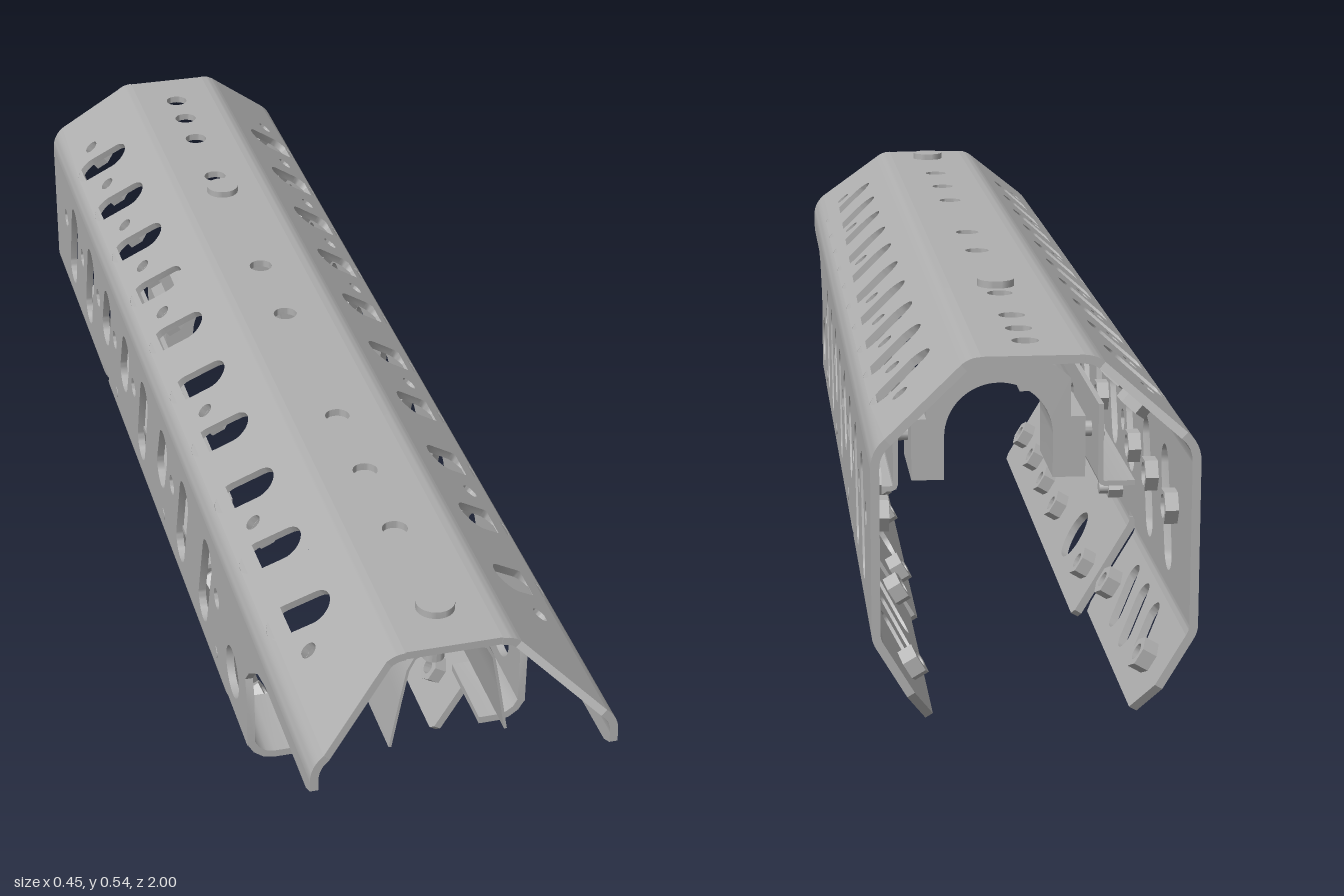
import * as THREE from 'three';
import { toCreasedNormals } from 'three/addons/utils/BufferGeometryUtils.js';

const T = 0.012; // sheet thickness
const V2 = (x, y) => new THREE.Vector2(x, y);

export function createModel() {
  const root = new THREE.Group();
  root.name = 'perforatedCover';
  const steel = new THREE.MeshStandardMaterial({ color: 0xb0b0b0 });
  steel.name = 'grey steel';

  function add(name, geo) {
    const mesh = new THREE.Mesh(toCreasedNormals(geo, 0.6), steel);
    mesh.name = name;
    root.add(mesh);
  }
  // reflects a geometry in x and keeps its faces pointing outwards
  function mirrored(geo) {
    const g = geo.index ? geo.toNonIndexed() : geo.clone();
    g.scale(-1, 1, 1);
    const p = g.attributes.position;
    for (let i = 0; i < p.count; i += 3) {
      const a = [p.getX(i), p.getY(i), p.getZ(i)];
      p.setXYZ(i, p.getX(i + 2), p.getY(i + 2), p.getZ(i + 2));
      p.setXYZ(i + 2, ...a);
    }
    g.computeVertexNormals();
    return g;
  }
  function pair(name, geo) {
    add('left' + name, geo);
    add('right' + name, mirrored(geo));
  }

  // rounded slot between two points; equal points give a round hole
  function slot(a, b, r) {
    const ang = Math.atan2(b.y - a.y, b.x - a.x);
    const path = new THREE.Path();
    path.absarc(b.x, b.y, r, ang - Math.PI / 2, ang + Math.PI / 2, false);
    path.absarc(a.x, a.y, r, ang + Math.PI / 2, ang + Math.PI * 1.5, false);
    path.closePath();
    return path;
  }
  // flat sheet running along z; outline and holes are given as (z, y),
  // and y is stretched onto the line from lower to upper
  function panel(outline, holes, lower, upper, t = T) {
    const dir = V2(upper[0] - lower[0], upper[1] - lower[1]);
    const len = dir.length(), rise = dir.y;
    const map = ([z, y]) => V2(z, rise ? (y - lower[1]) / rise * len : y - lower[0]);
    const s = new THREE.Shape(outline.map(map));
    for (const [a, b, r] of holes) s.holes.push(slot(map(a), map(b), r));
    const g = new THREE.ExtrudeGeometry(s, { depth: t, bevelEnabled: false, curveSegments: 8 });
    dir.normalize();
    const m = new THREE.Matrix4().makeBasis(
      new THREE.Vector3(0, 0, 1), new THREE.Vector3(dir.x, dir.y, 0), new THREE.Vector3(-dir.y, dir.x, 0));
    return g.applyMatrix4(m.setPosition(lower[0], lower[1], 0));
  }
  // extrudes an xy section from z0 to z1
  function along(shape, z0, z1) {
    return new THREE.ExtrudeGeometry(shape, { depth: z1 - z0, bevelEnabled: false, curveSegments: 16 }).translate(0, 0, z0);
  }
  // constant-thickness strip following a list of xy points
  function strip(pts, t, z0, z1) {
    const inner = pts.map((p, i) => {
      const a = pts[Math.max(i - 1, 0)], b = pts[Math.min(i + 1, pts.length - 1)];
      const d = b.clone().sub(a).normalize();
      return V2(p.x + d.y * t, p.y - d.x * t);
    });
    return along(new THREE.Shape([...pts, ...inner.reverse()]), z0, z1);
  }
  const bend = (a, c, b, z0, z1) =>
    strip(new THREE.QuadraticBezierCurve(V2(...a), V2(...c), V2(...b)).getPoints(6), T, z0, z1);
  const hole = (z, y, r) => [[z, y], [z, y], r];

  // main section, from the flat top down to the lower flange
  const topEdge = [0.07, 0.535], topCorner = [0.085, 0.535], slopeTop = [0.097, 0.525];
  const slopeLow = [0.203, 0.436], shoulder = [0.222, 0.42], sideTop = [0.222, 0.395];
  const sideLow = [0.222, 0.165], foot = [0.222, 0.155], flangeTop = [0.216, 0.145], flangeTip = [0.131, 0.002];

  // top panel
  const topHoles = [-0.86, -0.78, -0.69, -0.53, -0.18, -0.01, 0.32, 0.48, 0.64].map(z => hole(z, 0, 0.019));
  add('topPanel', panel([[-0.955, -0.07], [0.93, -0.07], [0.93, 0.07], [-0.955, 0.07]], topHoles,
    [-0.07, 0.523], [0.07, 0.523]));
  pair('TopBend', bend(topEdge, topCorner, slopeTop, -0.957, 0.932));

  // sloping panels
  const slopeBolts = [-0.85, -0.69, -0.52, -0.36, -0.19, 0.14, 0.47, 0.8];
  const slopeHoles = slopeBolts.map(z => hole(z, 0.462, 0.013));
  for (let i = 0; i < 10; i++) {
    const z = -0.77 + i * 0.1655;
    slopeHoles.push([[z - 0.012, 0.449], [z + 0.012, 0.484], 0.029]);
  }
  pair('SlopePanel', panel([[-1, 0.436], [1, 0.436], [0.932, 0.525], [-0.957, 0.525]], slopeHoles, slopeLow, slopeTop));
  pair('ShoulderBend', bend(slopeLow, shoulder, sideTop, -1, 1));

  // side panels
  const sideBolts = [0.43, 0.1, -0.22, -0.55, -0.71, -0.88];
  const sideHoles = [...sideBolts, -0.39].map(z => hole(z, 0.3, 0.017));
  sideHoles.push(hole(0.535, 0.235, 0.042));
  for (const [z, low] of [[0.35, 0], [0.18, 0], [0.02, 1], [-0.14, 0], [-0.3, 1], [-0.47, 1], [-0.635, 0], [-0.8, 0]])
    sideHoles.push([[z - (low ? 0.01 : 0.022), low ? 0.272 : 0.22], [z + 0.016, 0.332], 0.031]);
  pair('SidePanel', panel([[-1, 0.165], [-0.52, 0.165], [-0.52, 0.175], [-0.47, 0.175], [-0.47, 0.165], [0.63, 0.165],
    [0.63, 0.25], [0.62, 0.285], [0.6, 0.31], [0.7, 0.355], [0.75, 0.367], [0.98, 0.368], [1, 0.378], [1, 0.395], [-1, 0.395]]
    .map(([z, y]) => (z === 0.6 ? [0.645, 0.315] : [z, y])), sideHoles, sideLow, sideTop));

  // lower flanges, front and rear, with their bends
  const flangeBolts = [0.4, 0.24, 0.08, -0.08, -0.41];
  pair('FrontFlange', panel([[-0.475, 0.01], [-0.465, 0.002], [0.47, 0.002], [0.48, 0.01], [0.48, 0.145], [-0.475, 0.145]],
    [...flangeBolts.map(z => hole(z, 0.06, 0.013)), hole(-0.24, 0.062, 0.041)], flangeTip, flangeTop));
  pair('FrontFlangeBend', bend(sideLow, foot, flangeTop, -0.475, 0.48));
  const rearHoles = [-0.66, -0.75, -0.84].map(z => [[z - 0.016, 0.069], [z + 0.016, 0.115], 0.021]);
  pair('RearFlange', panel([[-1, 0.145], [-1, 0.075], [-0.955, 0.028], [-0.535, 0.028], [-0.525, 0.04], [-0.525, 0.145]],
    [...rearHoles, hole(-0.59, 0.085, 0.013), hole(-0.92, 0.085, 0.013)], flangeTip, flangeTop));
  pair('RearFlangeBend', bend(sideLow, foot, flangeTop, -1, -0.525));

  // inward curved lip near the front
  pair('FrontLip', strip([[0.222, 0.167], [0.212, 0.15], [0.197, 0.139], [0.18, 0.135], [0.148, 0.135]]
    .map(p => V2(...p)), T, 0.49, 0.63));

  // hexagonal ring nuts on the inner faces
  function nut(x, y, z, nx, ny, r, h, bore) {
    const s = new THREE.Shape();
    for (let i = 0; i < 6; i++) {
      const a = i * Math.PI / 3;
      s[i ? 'lineTo' : 'moveTo'](r * Math.cos(a), r * Math.sin(a));
    }
    s.closePath();
    if (bore) s.holes.push(new THREE.Path().absarc(0, 0, bore, 0, Math.PI * 2, true));
    const g = new THREE.ExtrudeGeometry(s, { depth: h, bevelEnabled: false, curveSegments: 8 });
    g.applyQuaternion(new THREE.Quaternion().setFromUnitVectors(new THREE.Vector3(0, 0, 1),
      new THREE.Vector3(nx, ny, 0).normalize()));
    return g.translate(x, y, z);
  }
  const rod = (x0, x1, y, z, r) =>
    new THREE.CylinderGeometry(r, r, x1 - x0, 16).rotateZ(Math.PI / 2).translate((x0 + x1) / 2, y, z);
  for (const z of slopeBolts) pair('SlopeNut', nut(0.164, 0.453, z, -0.643, -0.766, 0.025, 0.024, 0.013));
  for (const z of sideBolts) pair('SideNut', nut(0.211, 0.3, z, -1, 0, 0.026, 0.02, 0.017));
  for (const z of flangeBolts) pair('FlangeNut', nut(0.156, 0.066, z, -0.86, 0.51, 0.024, 0.022, 0.012));
  for (const z of [-0.59, -0.92]) pair('RearFlangeNut', nut(0.17, 0.091, z, -0.86, 0.51, 0.024, 0.022, 0.012));

  // bracket rails with their fixing screws
  pair('BracketPlate', panel([[-0.52, 0.24], [0.25, 0.24], [0.25, 0.358], [-0.52, 0.358]],
    [hole(0.1, 0.3, 0.02), hole(-0.22, 0.3, 0.02)], [0.161, 0.24], [0.161, 0.358], 0.008));
  pair('BracketFoot', strip([[0.153, 0.24], [0.156, 0.232], [0.163, 0.229], [0.212, 0.229]]
    .map(p => V2(...p)), -0.008, -0.52, 0.25));
  for (const z of [0.42, 0.02, -0.39]) {
    pair('FootScrew', rod(0.173, 0.223, 0.19, z, 0.01));
    pair('FootScrewNut', nut(0.21, 0.19, z, -1, 0, 0.017, 0.023, 0));
  }

  // arched saddle block held by the rear top bolt
  const arch = new THREE.Shape([[0.083, 0.245], [0.133, 0.245], [0.133, 0.34], [0.11, 0.34], [0.11, 0.4]].map(p => V2(...p)));
  arch.quadraticCurveTo(0.08, 0.43, 0.043, 0.434);
  arch.lineTo(0.043, 0.48);
  arch.lineTo(-0.043, 0.48);
  arch.lineTo(-0.043, 0.434);
  arch.quadraticCurveTo(-0.08, 0.43, -0.11, 0.4);
  for (const [x, y] of [[-0.11, 0.34], [-0.133, 0.34], [-0.133, 0.245], [-0.083, 0.245], [-0.083, 0.312]]) arch.lineTo(x, y);
  arch.absarc(0, 0.312, 0.083, Math.PI, 0, true);
  arch.closePath();
  add('saddleBlock', along(arch, -0.52, -0.36));
  pair('SaddleScrew', rod(0.105, 0.172, 0.3, -0.44, 0.012));
  pair('SaddleScrewHead', nut(0.171, 0.3, -0.44, -1, 0, 0.022, 0.016, 0));

  // spring clip under the front top bolt
  pair('SpringClip', strip([[0, 0.522], [0.04, 0.522], [0.054, 0.515], [0.064, 0.495], [0.074, 0.44], [0.087, 0.365]]
    .map(p => V2(...p)), 0.004, 0.67, 0.92));

  // top bolts
  for (const z of [0.84, -0.47]) {
    add('topBoltHead', new THREE.CylinderGeometry(0.028, 0.028, 0.012, 24).translate(0, 0.54, z));
    add('topBoltShaft', new THREE.CylinderGeometry(0.016, 0.016, 0.085, 16).translate(0, 0.4925, z));
    add('topBoltNut', nut(0, 0.523, z, 0, -1, 0.028, 0.018, 0));
  }
  return root;
}
